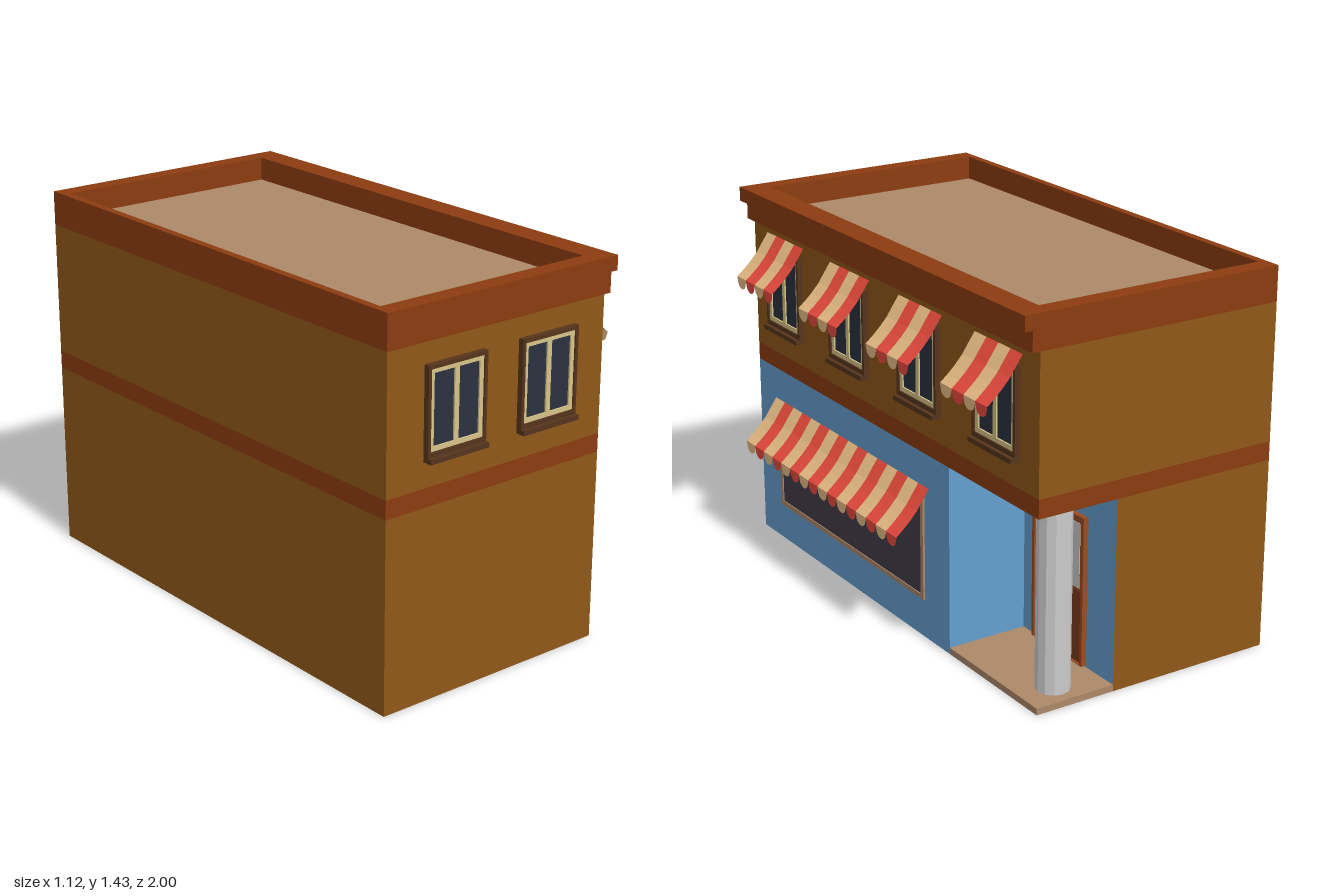
import * as THREE from 'three';

const mat = (color, side = THREE.FrontSide) => new THREE.MeshStandardMaterial({ color, side });
const M = {
  wall: mat(0x8f5817), trim: mat(0x8c3c10), blue: mat(0x64a0d0), tan: mat(0xad8868),
  darkWood: mat(0x57351c), cream: mat(0xd8c488), glass: mat(0x2a3240), shopGlass: mat(0x423c48),
  door: mat(0x7d3a20), doorTrim: mat(0x9a4c22), grey: mat(0xcccccc),
  red: mat(0xe84a3e, THREE.DoubleSide), beige: mat(0xe8bd84, THREE.DoubleSide),
};

function add(parent, name, geometry, material, x = 0, y = 0, z = 0) {
  const mesh = new THREE.Mesh(geometry, material);
  mesh.name = name;
  mesh.position.set(x, y, z);
  parent.add(mesh);
  return mesh;
}

// Box given by its extents on each axis
function block(parent, name, [x0, x1], [y0, y1], [z0, z1], material) {
  return add(parent, name, new THREE.BoxGeometry(x1 - x0, y1 - y0, z1 - z0), material,
    (x0 + x1) / 2, (y0 + y1) / 2, (z0 + z1) / 2);
}

function rect(Type, [x0, x1], [y0, y1]) {
  const p = new Type();
  p.moveTo(x0, y0);
  p.lineTo(x1, y0);
  p.lineTo(x1, y1);
  p.lineTo(x0, y1);
  p.closePath();
  return p;
}

// Rectangular ring in the xy plane, extruded along +z
function ring(outerX, outerY, innerX, innerY, depth) {
  const shape = rect(THREE.Shape, outerX, outerY);
  shape.holes.push(rect(THREE.Path, innerX, innerY));
  return new THREE.ExtrudeGeometry(shape, { depth, bevelEnabled: false });
}

// Two-pane window facing +z
function makeWindow() {
  const g = new THREE.Group();
  g.name = 'window';
  add(g, 'outerFrame', ring([-0.13, 0.13], [0.9, 1.225], [-0.117, 0.117], [0.92, 1.21], 0.022), M.darkWood);
  block(g, 'sill', [-0.13, 0.13], [0.885, 0.903], [0, 0.038], M.darkWood);
  add(g, 'sash', ring([-0.117, 0.117], [0.92, 1.21], [-0.1, 0.1], [0.937, 1.193], 0.016), M.cream);
  block(g, 'mullion', [-0.01, 0.01], [0.937, 1.193], [0, 0.016], M.cream);
  block(g, 'panes', [-0.1, 0.1], [0.937, 1.193], [0, 0.01], M.glass);
  return g;
}

// Striped awning: each stripe is a sheet bent to the profile, with a scalloped flap
function makeAwning(width, count, top) {
  const g = new THREE.Group();
  g.name = 'awning';
  const profile = [[0, 0], [0.024, -0.034], [0.05, -0.072], [0.08, -0.105], [0.108, -0.131], [0.137, -0.155]];
  const w = width / count;
  const rows = profile.length;
  const cols = 10;
  for (let s = 0; s < count; s++) {
    const geo = new THREE.PlaneGeometry(w, 1, cols, rows);
    const pos = geo.attributes.position;
    for (let i = 0; i < pos.count; i++) {
      const row = Math.floor(i / (cols + 1));
      const [z, y] = profile[Math.min(row, rows - 1)];
      let drop = 0;
      if (row === rows) {
        // spread the columns evenly round a half circle
        const u = pos.getX(i) / (w / 2);
        drop = 0.007 + 0.036 * Math.sqrt(Math.max(0, 1 - u * u));
      }
      pos.setY(i, top + y - drop);
      pos.setZ(i, z);
    }
    const flat = geo.toNonIndexed();
    flat.computeVertexNormals();
    add(g, 'awningStripe', flat, s % 2 ? M.red : M.beige, -width / 2 + w * (s + 0.5), 0, 0.001);
  }
  return g;
}

// Entrance door facing +z
function makeDoor() {
  const g = new THREE.Group();
  g.name = 'door';
  add(g, 'doorFrame', ring([-0.155, 0.155], [0.03, 0.595], [-0.142, 0.142], [0.031, 0.58], 0.02), M.doorTrim);
  block(g, 'doorLeaf', [-0.142, 0.142], [0.03, 0.58], [0, 0.008], M.door);
  block(g, 'glazingFrame', [-0.138, 0.138], [0.307, 0.58], [0, 0.012], M.doorTrim);
  for (const s of [-1, 1]) {
    add(g, 'doorPane', new THREE.BoxGeometry(0.118, 0.245, 0.014), M.grey, s * 0.067, 0.442, 0.007);
  }
  return g;
}

export function createModel() {
  const root = new THREE.Group();
  root.name = 'cornerShop';
  const X = [-0.56, 0.42];
  const Z = [-1, 0.96];
  const recessX = 0.1;
  const recessZ = -0.45;

  // Ground floor, L-shaped round the corner entrance (materials: +x -x +y -y +z -z)
  const { wall, blue, tan, trim } = M;
  block(root, 'groundFloorMain', [X[0], recessX], [0, 0.72], Z, [blue, wall, wall, tan, wall, wall]);
  block(root, 'groundFloorShop', [recessX, X[1]], [0, 0.72], [recessZ, Z[1]], [blue, wall, wall, tan, wall, blue]);
  block(root, 'entranceSlab', [recessX, X[1]], [0, 0.025], [Z[0], recessZ], tan);
  add(root, 'column', new THREE.CylinderGeometry(0.063, 0.063, 0.695, 12),
    new THREE.MeshStandardMaterial({ color: 0xcccccc, flatShading: true }), 0.285, 0.3725, -0.9);

  // Upper floor, string course, parapet and roof
  block(root, 'stringCourse', X, [0.72, 0.79], Z, [trim, trim, trim, blue, trim, trim]);
  block(root, 'upperFloor', X, [0.79, 1.3], Z, wall);
  const parapet = add(root, 'parapet',
    ring(X, [-Z[1], -Z[0]], [-0.53, 0.38], [-0.89, 0.93], 0.13), trim, 0, 1.3, 0);
  parapet.rotation.x = -Math.PI / 2;
  block(root, 'roof', [-0.53, 0.38], [1.3, 1.34], [-0.93, 0.89], tan);
  block(root, 'lowerCornice', [0.42, 0.45], [1.3, 1.375], Z, trim);
  block(root, 'upperCornice', [0.42, 0.48], [1.375, 1.43], Z, trim);

  // Windows on the end wall
  for (const x of [-0.27, 0.15]) {
    const win = makeWindow();
    win.position.set(x, 0, 0.96);
    root.add(win);
  }

  // Long facade: local x runs along -z, local z points out along +x
  const facade = new THREE.Group();
  facade.name = 'shopFacade';
  facade.rotation.y = Math.PI / 2;
  facade.position.x = X[1];
  root.add(facade);
  for (const z of [0.71, 0.22, -0.27, -0.76]) {
    const win = makeWindow();
    const awning = makeAwning(0.285, 4, 1.265);
    win.position.x = awning.position.x = -z;
    facade.add(win, awning);
  }
  add(facade, 'shopWindowFrame', ring([-0.8, 0.285], [0.15, 0.575], [-0.782, 0.267], [0.168, 0.557], 0.008), tan);
  block(facade, 'shopWindowGlass', [-0.782, 0.267], [0.168, 0.557], [0, 0.004], M.shopGlass);
  const shopAwning = makeAwning(1.146, 16, 0.594);
  shopAwning.position.x = -0.255;
  facade.add(shopAwning);

  // Door on the back wall of the recess
  const door = makeDoor();
  door.rotation.y = Math.PI / 2;
  door.position.set(recessX, 0, -0.684);
  root.add(door);

  return root;
}
